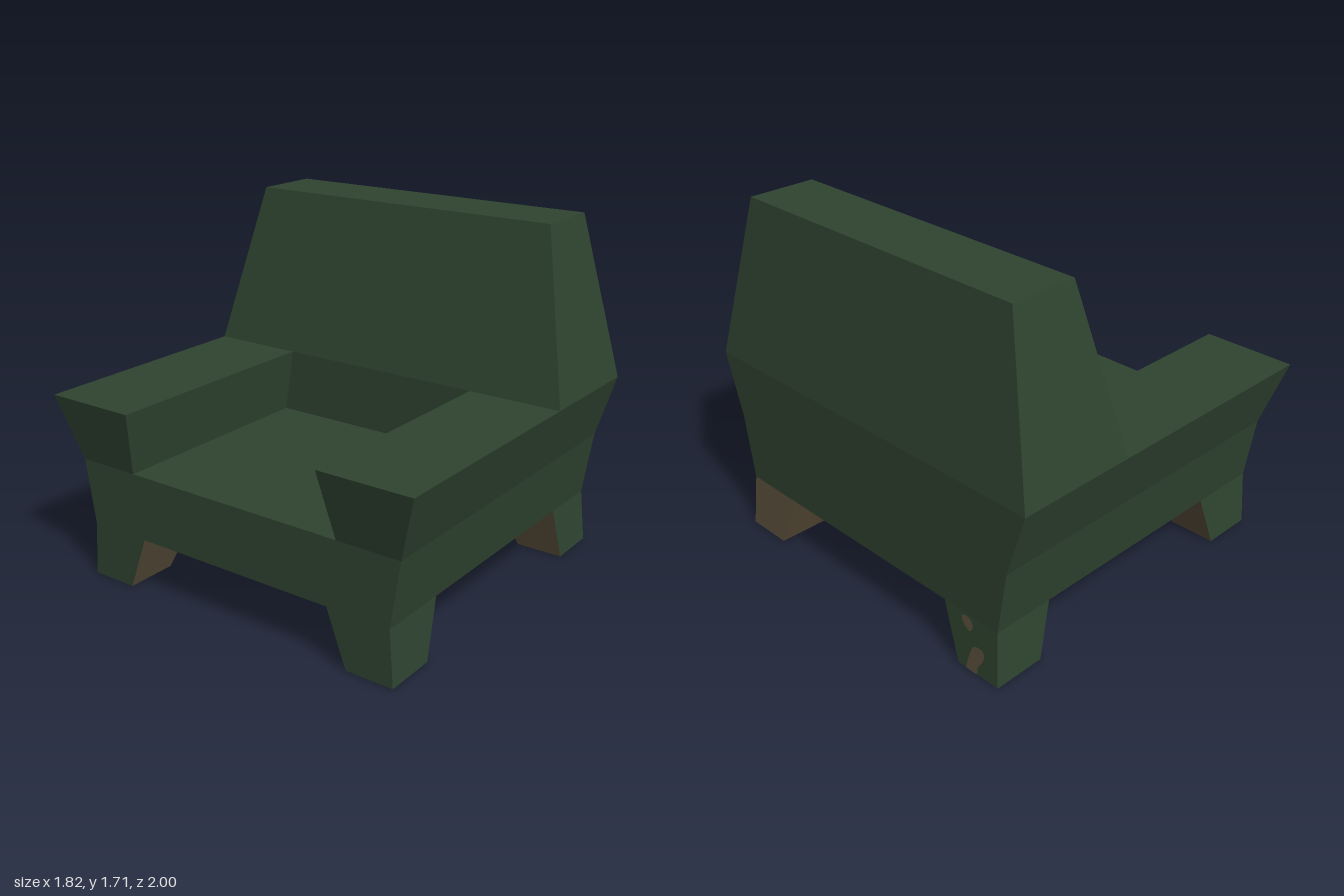
import * as THREE from 'three';

const fabric = new THREE.MeshStandardMaterial({ color: 0x2f4430 });
fabric.name = 'darkGreenFabric';
const wood = new THREE.MeshStandardMaterial({ color: 0x5c503c });
wood.name = 'brownWood';

// Corner order is counter-clockwise seen from outside: +x, -x, top, bottom, +z, -z
const FACES = {
  right: [1, 2, 6, 5], left: [3, 0, 4, 7], top: [4, 5, 6, 7],
  bottom: [0, 3, 2, 1], front: [0, 1, 5, 4], back: [2, 3, 7, 6],
};

// Six-sided block between two level rectangles [x0, x1, z0, z1].
// paint maps a face to a material, or to null to leave it open.
function block(name, y0, lower, y1, upper, paint = {}) {
  const ring = ([x0, x1, z0, z1], y) => [[x0, y, z1], [x1, y, z1], [x1, y, z0], [x0, y, z0]];
  const corners = [...ring(lower, y0), ...ring(upper, y1)];
  const positions = [];
  const geometry = new THREE.BufferGeometry();
  for (const [face, [a, b, c, d]] of Object.entries(FACES)) {
    const material = face in paint ? paint[face] : fabric;
    if (!material) continue;
    geometry.addGroup(positions.length / 3, 6, material === wood ? 1 : 0);
    for (const i of [a, b, c, a, c, d]) positions.push(...corners[i]);
  }
  geometry.setAttribute('position', new THREE.Float32BufferAttribute(positions, 3));
  geometry.computeVertexNormals();
  const mesh = new THREE.Mesh(geometry, [fabric, wood]);
  mesh.name = name;
  return mesh;
}

// Single four-cornered panel
function panel(name, a, b, c, d) {
  const geometry = new THREE.BufferGeometry();
  geometry.setAttribute('position', new THREE.Float32BufferAttribute([a, b, c, a, c, d].flat(), 3));
  geometry.computeVertexNormals();
  const mesh = new THREE.Mesh(geometry, fabric);
  mesh.name = name;
  return mesh;
}

// Worn patch of bare wood on the sloping rear face of a leg; points are [-z, y]
function wornPatch(name, points) {
  const curve = new THREE.SplineCurve(points.map(([u, y]) => new THREE.Vector2(u, y)));
  const geometry = new THREE.ShapeGeometry(new THREE.Shape(curve.getPoints(24)));
  geometry.rotateY(Math.PI / 2);
  const p = geometry.attributes.position;
  for (let i = 0; i < p.count; i++) p.setX(i, 0.913 - 0.074 * p.getY(i));
  geometry.computeVertexNormals();
  const mesh = new THREE.Mesh(geometry, wood);
  mesh.name = name;
  return mesh;
}

export function createModel() {
  const chair = new THREE.Group();
  chair.name = 'armchair';
  const LEG = 0.27, SEAT = 0.59, ARM = 0.91, TOP = 1.71;

  // Base and seat
  chair.add(block('base', LEG, [-0.84, 0.89, -0.85, 0.85], SEAT, [-0.84, 0.89, -0.9, 0.9], { top: null }));
  chair.add(panel('seat', [-0.84, SEAT, 0.58], [0.28, SEAT, 0.58], [0.28, SEAT, -0.58], [-0.84, SEAT, -0.58]));

  // Backrest: straight lower part, then tapering to the top
  chair.add(block('lowerBack', SEAT, [0.28, 0.89, -0.9, 0.9], ARM, [0.28, 0.89, -1, 1],
    { left: null, top: null, bottom: null }));
  chair.add(panel('lowerBackFront', [0.28, SEAT, -0.58], [0.28, SEAT, 0.58], [0.28, ARM, 0.53], [0.28, ARM, -0.53]));
  chair.add(block('backrest', ARM, [0.28, 0.89, -1, 1], TOP, [0.44, 0.78, -0.82, 0.82], { bottom: null }));

  for (const side of [1, -1]) {
    const span = (a, b) => (side > 0 ? [a, b] : [-b, -a]);
    const inner = side > 0 ? 'back' : 'front';

    // Armrest flaring outwards
    chair.add(block(side > 0 ? 'rightArmrest' : 'leftArmrest',
      SEAT, [-0.84, 0.28, ...span(0.58, 0.9)], ARM, [-0.91, 0.28, ...span(0.53, 1)],
      { bottom: null, right: null }));

    // Legs: covered outside, bare wood inside and underneath
    const bare = { top: null, bottom: wood, [inner]: wood };
    chair.add(block('frontLeg', 0, [-0.84, -0.58, ...span(0.63, 0.87)],
      LEG, [-0.84, -0.49, ...span(0.53, 0.85)], { ...bare, right: wood }));
    chair.add(block('rearLeg', 0, [0.65, 0.91, ...span(0.63, 0.87)],
      LEG, [0.58, 0.89, ...span(0.53, 0.85)],
      { ...bare, left: wood, right: side > 0 ? wood : fabric }));
  }

  // Worn spots on one rear leg
  chair.add(wornPatch('upperWornPatch',
    [[0.64, 0.25], [0.65, 0.22], [0.69, 0.195], [0.71, 0.225], [0.69, 0.255], [0.66, 0.26], [0.64, 0.25]]));
  chair.add(wornPatch('lowerWornPatch',
    [[0.68, 0.003], [0.745, 0.003], [0.75, 0.04], [0.78, 0.09], [0.775, 0.135], [0.72, 0.13], [0.695, 0.07], [0.68, 0.003]]));

  return chair;
}
